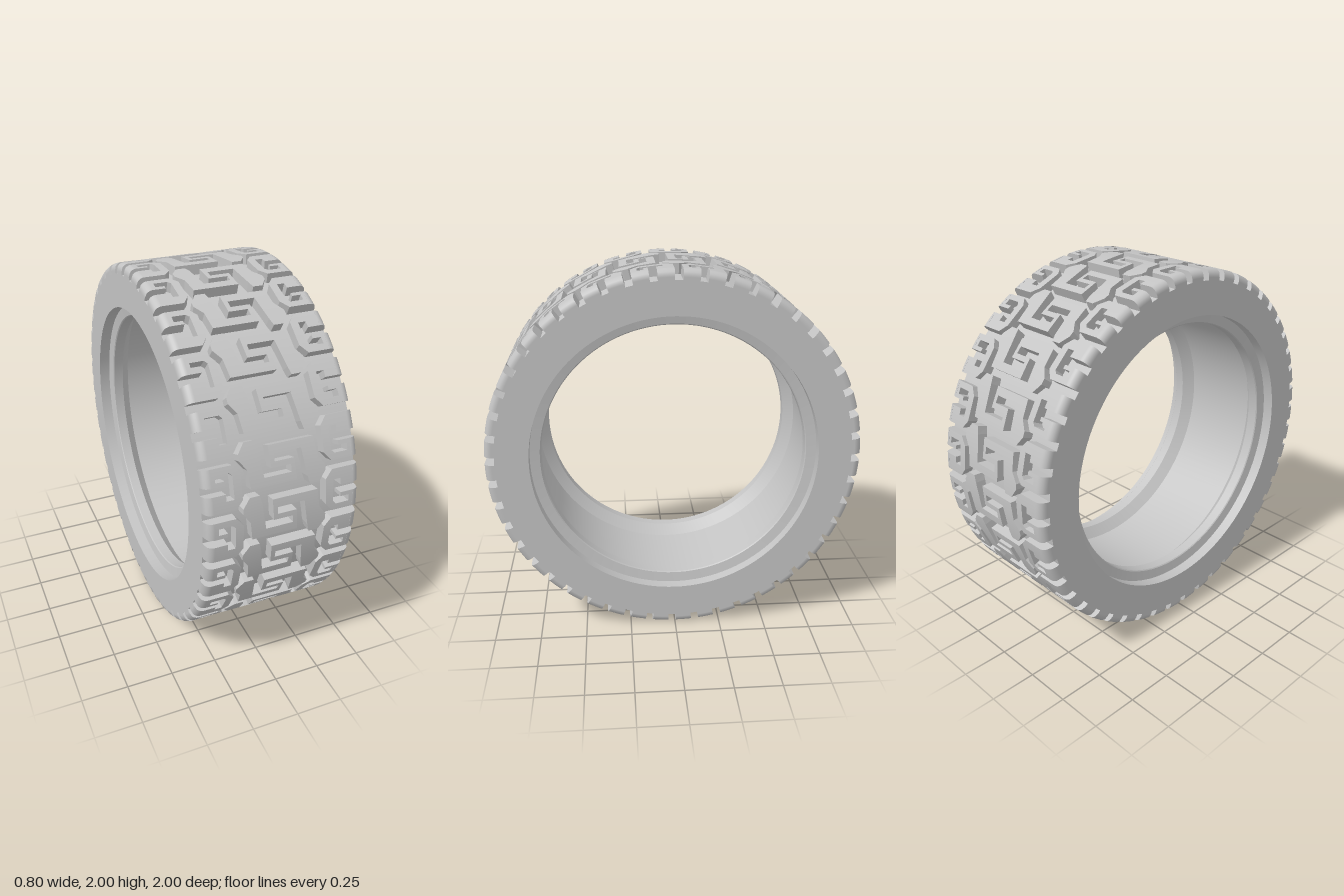
import * as THREE from 'three';
import { mergeGeometries, toCreasedNormals } from 'three/addons/utils/BufferGeometryUtils.js';

const REPEATS = 24;   // tread pitches around the tyre
const FLOOR = 0.935;  // radius where the blocks are rooted
const EDGE = 0.36;    // the shoulder starts rounding off here
const ROUND = 0.04;   // shoulder rounding radius
const DEG = Math.PI / 180;

// Wrap a flat block (x = across, y = around, z = 0..1 height) onto the tyre
function bend(source) {
  const geo = source.index ? source.toNonIndexed() : source;
  const pos = geo.attributes.position;
  const oldNormal = geo.attributes.normal.clone();
  const shoulder = (u) => Math.min(1, Math.max(0, (Math.abs(u) - EDGE) / ROUND));
  const tops = [];
  for (let i = 0; i < pos.count; i++) {
    const u = pos.getX(i), a = pos.getY(i), s = shoulder(u);
    const c = Math.sqrt(1 - s * s);
    const r = FLOOR + pos.getZ(i) * (1 - ROUND + ROUND * c - FLOOR);
    pos.setXYZ(i, u, r * Math.sin(a), r * Math.cos(a));
    if (oldNormal.getZ(i) > 0.5) tops.push([i, Math.sign(u) * s, c * Math.sin(a), c * Math.cos(a)]);
  }
  geo.computeVertexNormals();
  // smooth running surface, sharp walls
  for (const [i, x, y, z] of tops) geo.attributes.normal.setXYZ(i, x, y, z);
  return geo;
}

function block(points) {
  const shape = new THREE.Shape(points.map(([x, y]) => new THREE.Vector2(x, y)));
  return bend(new THREE.ExtrudeGeometry(shape, { depth: 1, bevelEnabled: false }));
}

// Rounded outer end of a shoulder block
function tab(t0, t1) {
  const geo = new THREE.BoxGeometry(ROUND, t1 - t0, 1, 5, 3, 1);
  geo.translate(-EDGE - ROUND / 2, (t0 + t1) / 2, 0.5);
  return bend(geo);
}

// Repeat a block around the axle, starting at the given angle above the front
function ring(geo, startDeg) {
  const copies = [];
  for (let i = 0; i < REPEATS; i++) {
    copies.push(geo.clone().rotateX(-(startDeg * DEG + (i * 2 * Math.PI) / REPEATS)));
  }
  return mergeGeometries(copies);
}

export function createModel() {
  const group = new THREE.Group();
  const rubber = new THREE.MeshStandardMaterial({ color: 0xc4c4c4 });
  rubber.name = 'grey rubber';
  const add = (name, geo) => {
    const mesh = new THREE.Mesh(geo, rubber);
    mesh.name = name;
    mesh.position.y = 1;
    group.add(mesh);
  };

  // Carcass: groove floor, flat side walls, broad rim beads and smooth inside
  const half = [
    [0.945, 0.4], [0.767, 0.4], [0.767, 0.34], [0.715, 0.33],
    [0.71, 0.325], [0.71, 0.27], [0.765, 0.22],
  ];
  const mirrored = half.map(([r, x]) => [r, -x]).reverse();
  const profile = [...half, ...mirrored, half[0]].map(([r, x]) => new THREE.Vector2(r, x));
  const carcass = new THREE.LatheGeometry(profile, 120).rotateZ(-Math.PI / 2);
  add('carcass', toCreasedNormals(carcass, 0.5));

  // Centre blocks: an S-shaped maze with two interlocking bent slots
  const centreHalf = [
    [0.065, -0.095], [0.06, 0.014], [-0.04, 0.014], [-0.04, 0.052], [0.1, 0.052],
    [0.12, -0.09], [0.13, -0.13], [0.18, -0.13], [0.215, -0.08], [0.215, -0.05],
    [0.18, 0], [0.17, 0.095],
  ];
  const centre = block([...centreHalf, ...centreHalf.map(([x, y]) => [-x, -y])]);
  add('centreTreadBlocks', ring(centre, 4.6));

  // Shoulder blocks: chamfered, with a hooked slot open to the side wall
  const shoulder = mergeGeometries([
    block([
      [-0.36, -0.109], [-0.25, -0.109], [-0.215, -0.065], [-0.215, 0.065],
      [-0.25, 0.109], [-0.36, 0.109], [-0.36, 0.021], [-0.295, 0.021],
      [-0.295, 0.042], [-0.34, 0.042], [-0.34, 0.076], [-0.27, 0.076],
      [-0.255, 0.06], [-0.255, -0.055], [-0.295, -0.055], [-0.295, -0.021],
      [-0.36, -0.021],
    ]),
    tab(-0.109, -0.021),
    tab(0.021, 0.109),
  ]);
  add('rightShoulderBlocks', ring(shoulder, 0.7));
  add('leftShoulderBlocks', ring(shoulder.clone().rotateZ(Math.PI), 8.5));

  return group;
}
